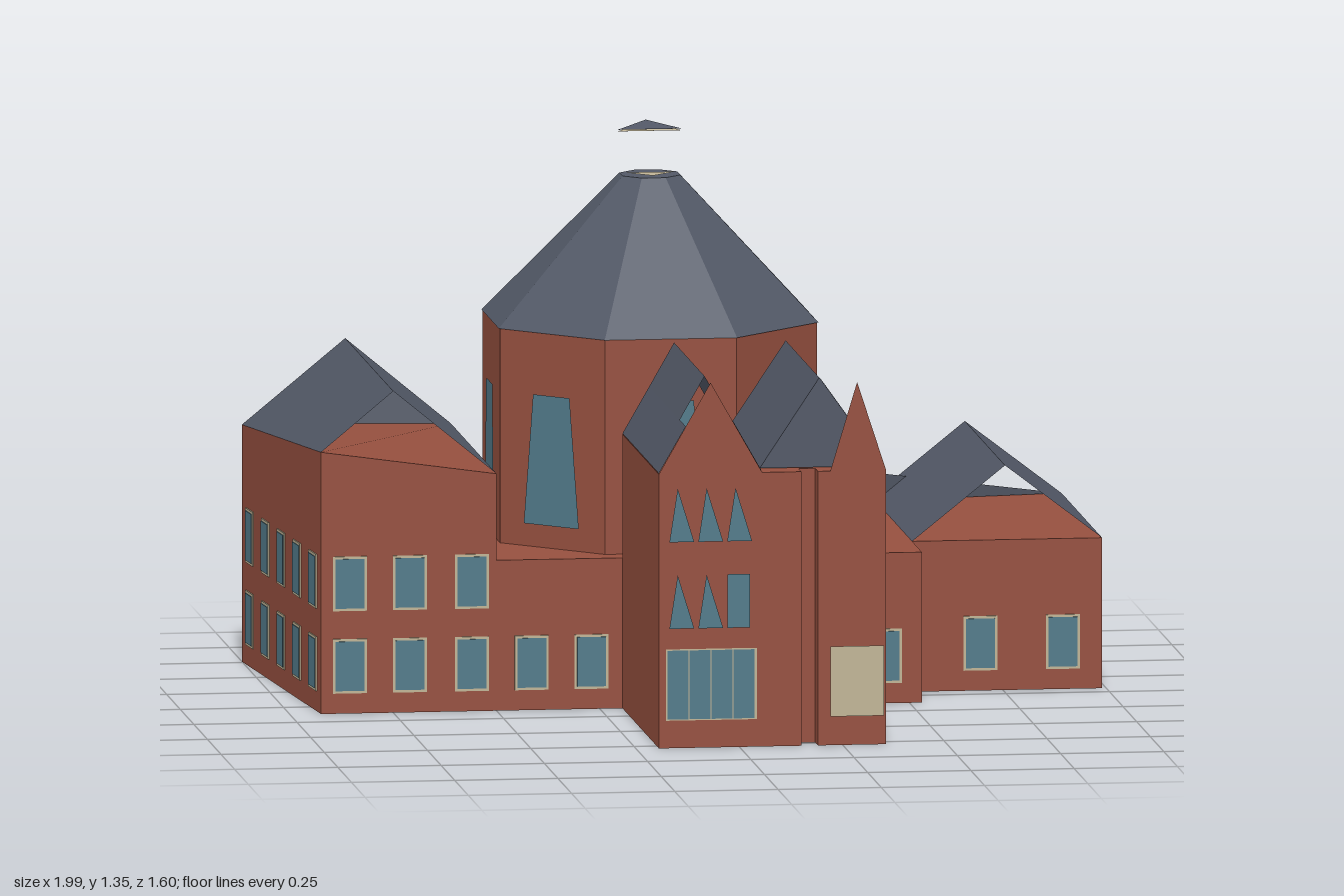
import * as THREE from 'three';

const mat = (name, color) => new THREE.MeshStandardMaterial({ name, color, side: THREE.DoubleSide });

export function createModel() {
  const model = new THREE.Group();
  const brick = mat('brick', 0x96503f), slate = mat('slate', 0x525866);
  const glass = mat('glass', 0x527a8a), cream = mat('cream', 0xc0b496);

  // Flat faces, each a convex loop of [x, y, z] corners
  function faces(name, material, loops) {
    const p = [];
    for (const l of loops)
      for (let i = 1; i < l.length - 1; i++) p.push(...l[0], ...l[i], ...l[i + 1]);
    const g = new THREE.BufferGeometry();
    g.setAttribute('position', new THREE.Float32BufferAttribute(p, 3));
    g.computeVertexNormals();
    const m = new THREE.Mesh(g, material);
    m.name = name;
    model.add(m);
    return m;
  }

  // Upright block on a convex footprint of [x, z, top height]
  function prism(name, material, plan, base = 0) {
    const lo = plan.map(([x, z]) => [x, base, z]);
    const hi = plan.map(([x, z, h]) => [x, h, z]);
    const sides = plan.map((_, i) => {
      const j = (i + 1) % plan.length;
      return [lo[i], lo[j], hi[j], hi[i]];
    });
    return faces(name, material, [...sides, hi, [...lo].reverse()]);
  }
  const block = (name, x0, x1, z0, z1, h) =>
    prism(name, brick, [[x0, z1, h], [x1, z1, h], [x1, z0, h], [x0, z0, h]]);

  // Framed window plate turned to face the given angle
  function windowAt(x, y, z, angle, w = 0.07, h = 0.12) {
    const g = new THREE.Group();
    g.name = 'window';
    for (const [n, m, a, d] of [['windowFrame', cream, 0.012, 0.006], ['windowPane', glass, 0, 0.0095]]) {
      const p = new THREE.Mesh(new THREE.BoxGeometry(w + a, h + a, d), m);
      p.name = n;
      g.add(p);
    }
    g.position.set(x, y, z);
    g.rotation.y = angle;
    model.add(g);
  }
  const LOW = 0.115, HIGH = 0.315;

  // Main hall
  block('mainHall', -0.5, 0.53, -0.72, 0.12, 0.365);

  // Octagonal drum and its roof
  const cx = -0.07, cz = -0.325, apothem = 0.387;
  const ring = (r, y) => Array.from({ length: 8 }, (_, i) => {
    const a = (i - 0.5) * Math.PI / 4, R = r / Math.cos(Math.PI / 8);
    return [cx + R * Math.sin(a), y, cz + R * Math.cos(a)];
  });
  prism('drum', brick, ring(apothem - 0.003, 0.885).map(([x, y, z]) => [x, z, y]), 0.36);
  const eave = ring(apothem, 0.885), crown = ring(0.07, 1.23);
  faces('drumRoof', slate, [...eave.map((e, i) => [e, eave[(i + 1) % 8], crown[(i + 1) % 8], crown[i]]), crown]);
  faces('crownPlate', cream, [[[cx - 0.06, 1.234, cz], [cx, 1.234, cz + 0.06], [cx + 0.06, 1.234, cz]]]);

  // Small saddle-shaped cap hovering over the crown
  const cap = (y) => {
    const W = [cx - 0.078, 1.338 + y, cz], E = [cx + 0.078, 1.338 + y, cz];
    return [[W, [cx, 1.35 + y, cz + 0.078], E], [E, [cx, 1.35 + y, cz - 0.078], W]];
  };
  faces('finialCap', slate, cap(0));
  faces('finialUnderside', cream, cap(-0.004).map((l) => l.reverse()));

  // Tall drum windows: pointed on most diagonals, tapered elsewhere
  const pointed = [[-0.083, 0.42], [0.083, 0.42], [0.083, 0.69], [0, 0.745], [-0.083, 0.69]];
  const tapered = [[-0.083, 0.42], [0.083, 0.42], [0.055, 0.735], [-0.055, 0.735]];
  for (let i = 0; i < 8; i++) {
    const a = i * Math.PI / 4, s = Math.sin(a), c = Math.cos(a), r = apothem + 0.002;
    const outline = i % 2 && i !== 7 ? pointed : tapered;
    faces('drumWindow', glass, [outline.map(([u, y]) => [cx + r * s + u * c, y, cz + r * c - u * s])]);
  }

  // Right wing of the plan: low, skewed house with an open-ended gable roof
  prism('westWing', brick, [[-0.925, 0.12, 0.635], [-0.5, 0.12, 0.575], [-0.5, -0.72, 0.575],
    [-0.75, -0.765, 0.575], [-1, -0.765, 0.575]]);
  faces('westWingRoof', slate, [
    [[-0.5, 0.575, 0.12], [-0.5, 0.575, -0.72], [-0.75, 0.78, -0.765], [-0.75, 0.78, 0.12]],
    [[-1, 0.575, -0.765], [-0.925, 0.635, 0.12], [-0.75, 0.78, 0.12], [-0.75, 0.78, -0.765]],
    [[-0.5, 0.575, -0.72], [-1, 0.575, -0.765], [-0.75, 0.78, -0.765]],
  ]);

  // Low wing with open gable ends
  prism('eastWing', brick, [[0.53, -0.06, 0.365], [0.99, -0.06, 0.365], [0.99, -0.8, 0.365],
    [0.565, -0.8, 0.365], [0.53, -0.73, 0.365]]);
  faces('eastWingRoof', slate, [
    [[0.99, 0.365, -0.06], [0.99, 0.365, -0.8], [0.755, 0.545, -0.8], [0.755, 0.545, -0.06]],
    [[0.53, 0.365, -0.8], [0.53, 0.365, -0.06], [0.755, 0.545, -0.06], [0.755, 0.545, -0.8]],
  ]);

  // Slate strip and round stair turret along the back
  faces('backParapet', slate, [
    [[0.53, 0.365, -0.73], [-0.5, 0.365, -0.73], [-0.5, 0.445, -0.715], [0.34, 0.46, -0.715], [0.53, 0.435, -0.715]],
    [[0.99, 0.366, -0.797], [0.53, 0.366, -0.73], [0.53, 0.435, -0.72]],
  ]);
  for (const [name, m, y0, y1] of [['turret', brick, 0, 0.37], ['turretTop', slate, 0.37, 0.455]]) {
    const t = new THREE.Mesh(new THREE.CylinderGeometry(0.054, 0.054, y1 - y0, 16), m);
    t.name = name;
    t.position.set(0.235, (y0 + y1) / 2, -0.755);
    model.add(t);
  }

  // Entrance block with a split front
  block('entranceBody', -0.195, 0.355, 0.12, 0.68, 0.665);
  block('entrancePier', -0.195, -0.13, 0.68, 0.79, 0.665);
  block('entrancePier', -0.015, 0.15, 0.68, 0.79, 0.665);
  block('entranceSlot', 0.15, 0.19, 0.68, 0.74, 0.665);
  block('entrancePier', 0.19, 0.355, 0.68, 0.79, 0.665);
  faces('entranceScreen', brick, [[[-0.13, 0, 0.79], [-0.015, 0, 0.79], [-0.015, 0.665, 0.79], [-0.13, 0.665, 0.79]]]);

  // Twin gable roofs, the first cut back behind its gable
  const slope = (x0, y0, x1, y1, z1) =>
    [[x0, y0, z1], [x1, y1, z1], [x1, y1, 0.12], [x0, y0, 0.12]];
  faces('entranceRoof', slate, [
    slope(-0.195, 0.667, -0.13, 0.78, 0.79), slope(-0.13, 0.78, -0.07, 0.885, 0.68),
    slope(-0.07, 0.885, -0.015, 0.79, 0.68), slope(-0.015, 0.79, 0.055, 0.667, 0.79),
    slope(0.055, 0.667, 0.2, 0.885, 0.74), slope(0.2, 0.885, 0.355, 0.667, 0.79),
    [[0.055, 0.667, 0.735], [0.355, 0.667, 0.735], [0.2, 0.885, 0.735]],
  ]);
  faces('entranceGables', brick, [
    [[-0.195, 0.665, 0.79], [0.055, 0.665, 0.79], [-0.07, 0.885, 0.79]],
    [[0.22, 0.665, 0.79], [0.355, 0.665, 0.79], [0.285, 0.88, 0.79]],
  ]);

  // Entrance glazing and panel
  const zf = 0.794;
  const rect = (x0, x1, y0, y1, z = zf) => [[x0, y0, z], [x1, y0, z], [x1, y1, z], [x0, y1, z]];
  const spike = (x, y) => [[x - 0.03, y, zf], [x + 0.03, y, zf], [x - 0.01, y + 0.13, zf]];
  faces('entranceGlazing', glass, [
    ...[0, 1, 2, 3].map((i) => rect(-0.175 + i * 0.0535, -0.124 + i * 0.0535, 0.07, 0.237)),
    spike(-0.14, 0.29), spike(-0.07, 0.29), rect(-0.03, 0.025, 0.29, 0.42),
    spike(-0.14, 0.5), spike(-0.07, 0.5), spike(0, 0.5),
  ]);
  faces('entranceGlazingFrame', cream, [rect(-0.178, 0.042, 0.067, 0.24, 0.792)]);
  faces('entrancePanel', cream, [rect(0.22, 0.35, 0.07, 0.24)]);

  // Front windows
  for (const x of [-0.855, -0.71, -0.56, -0.415, -0.27, 0.44]) windowAt(x, LOW, 0.12, 0);
  for (const x of [-0.855, -0.71, -0.56]) windowAt(x, HIGH, 0.12, 0);
  for (const x of [0.695, 0.895]) windowAt(x, LOW, -0.06, 0);

  // Side windows
  for (const z of [-0.14, -0.305, -0.455, -0.595, -0.735]) windowAt(0.99, LOW, z, Math.PI / 2);
  const skew = Math.atan2(-0.885, 0.075);
  for (let i = 0; i < 5; i++) {
    const t = 0.1 + i * 0.2;
    for (const y of [LOW, HIGH]) windowAt(-0.925 - 0.075 * t, y, 0.12 - 0.885 * t, skew);
  }

  // Back windows
  for (const x of [0.63, 0.77, 0.91]) windowAt(x, LOW, -0.8, Math.PI);
  for (const x of [0.47, 0.35, 0.1, -0.06, -0.21, -0.37]) windowAt(x, LOW, -0.72, Math.PI);
  for (const y of [LOW, HIGH]) {
    for (const x of [-0.82, -0.93]) windowAt(x, y, -0.765, Math.PI);
    windowAt(-0.6, y, -0.738, Math.atan2(-0.045, -0.25));
  }

  // Pale patches on the rear wall of the skewed wing
  faces('palePatch', cream, [
    [[-0.5, 0.56, -0.723], [-0.72, 0.03, -0.763], [-0.72, 0.5, -0.763]],
    [[-0.76, 0.37, -0.768], [-0.995, 0.03, -0.768], [-0.985, 0.36, -0.768]],
  ]);

  return model;
}
